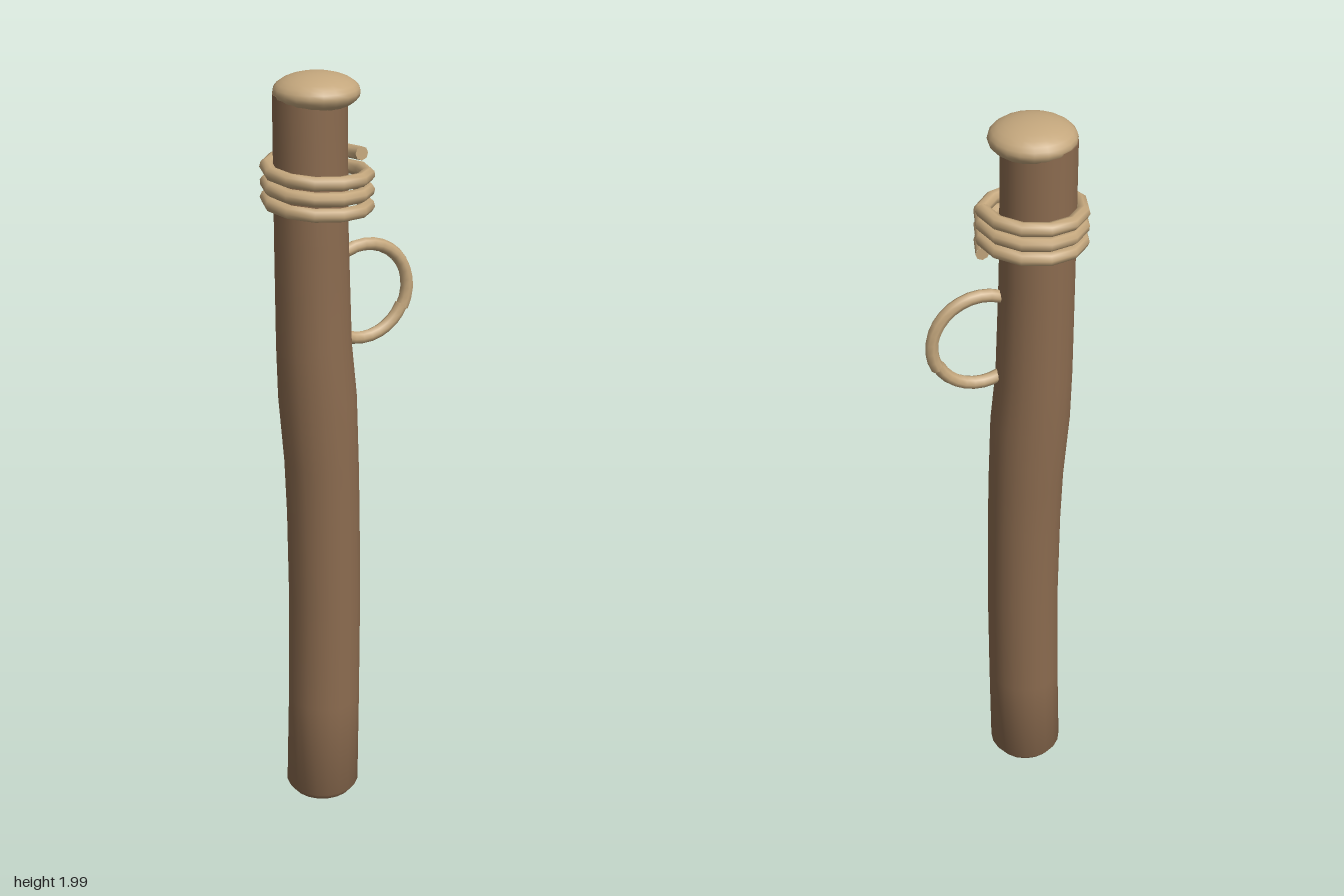
import * as THREE from 'three';
import { mergeVertices, toCreasedNormals } from 'three/addons/utils/BufferGeometryUtils.js';

const wood = new THREE.MeshStandardMaterial({ color: 0x8b6b4f });
wood.name = 'brown wood';
const tan = new THREE.MeshStandardMaterial({ color: 0xc4a77d });
tan.name = 'tan rope';

// Curve given by a function of t in 0..1
class PathCurve extends THREE.Curve {
  constructor(at) { super(); this.at = at; }
  getPoint(t, target = new THREE.Vector3()) { return target.copy(this.at(t)); }
}

// Rope along a curve, closed with a disc at each end
function rope(name, at, segments, radius) {
  const curve = new PathCurve(at);
  const group = new THREE.Group();
  group.name = name;
  const strand = new THREE.Mesh(new THREE.TubeGeometry(curve, segments, radius, 8), tan);
  strand.name = name + 'Strand';
  group.add(strand);
  for (const end of [0, 1]) {
    const disc = new THREE.Mesh(new THREE.CircleGeometry(radius, 8), tan);
    const p = curve.getPointAt(end);
    disc.position.copy(p);
    disc.lookAt(p.clone().addScaledVector(curve.getTangentAt(end), end ? 1 : -1));
    disc.name = name + 'End';
    group.add(disc);
  }
  return group;
}

// Slightly crooked post: a lathe whose cross-sections are shifted sideways
function makePost() {
  // y, radius, centre x, centre z
  const sections = [
    [0.008, 0.085, -0.068, 0.010],
    [0.028, 0.099, -0.068, 0.010],
    [0.30, 0.097, -0.060, 0.006],
    [0.60, 0.096, -0.054, 0.001],
    [0.85, 0.096, -0.055, -0.002],
    [1.00, 0.097, -0.058, -0.005],
    [1.18, 0.101, -0.067, -0.008],
    [1.32, 0.096, -0.075, -0.010],
    [1.60, 0.092, -0.080, -0.010],
    [1.95, 0.090, -0.082, -0.009],
  ];
  const profile = [new THREE.Vector2(0, 0.008), ...sections.map(([y, r]) => new THREE.Vector2(r, y)),
    new THREE.Vector2(0, 1.95)];
  let geo = new THREE.LatheGeometry(profile, 20);
  const pos = geo.attributes.position;
  for (let i = 0; i < pos.count; i++) {
    const s = sections.find(([y]) => Math.abs(y - pos.getY(i)) < 1e-4);
    pos.setX(i, pos.getX(i) + s[2]);
    pos.setZ(i, pos.getZ(i) + s[3]);
  }
  geo.deleteAttribute('normal');
  geo.deleteAttribute('uv');
  geo = toCreasedNormals(mergeVertices(geo, 1e-5), 0.75);
  const post = new THREE.Mesh(geo, wood);
  post.name = 'post';
  return post;
}

export function createModel() {
  const model = new THREE.Group();
  model.name = 'hitchingPost';
  model.add(makePost());

  // Flattened dome on top
  const cap = new THREE.Mesh(new THREE.SphereGeometry(0.105, 20, 14), tan);
  cap.name = 'cap';
  cap.scale.y = 0.045 / 0.105;
  cap.position.set(-0.069, 1.955, 0);
  model.add(cap);

  // Three turns of rope, winding down
  model.add(rope('ropeCoil', (t) => {
    const a = t * 3 * Math.PI * 2;
    return new THREE.Vector3(-0.068 + 0.122 * Math.cos(a), 1.79 - 0.115 * t, -0.122 * Math.sin(a));
  }, 36, 0.0175));

  // Loop on the side, in two arcs that meet with a small step
  const arc = (from, to, r) => (t) => {
    const a = THREE.MathUtils.degToRad(from + (to - from) * t);
    return new THREE.Vector3(0.061 + r * Math.cos(a), 1.435 + r * Math.sin(a), 0);
  };
  model.add(rope('upperLoop', arc(160, -27, 0.125), 16, 0.0165));
  model.add(rope('lowerLoop', arc(-24, -160, 0.121), 12, 0.0165));
  return model;
}
